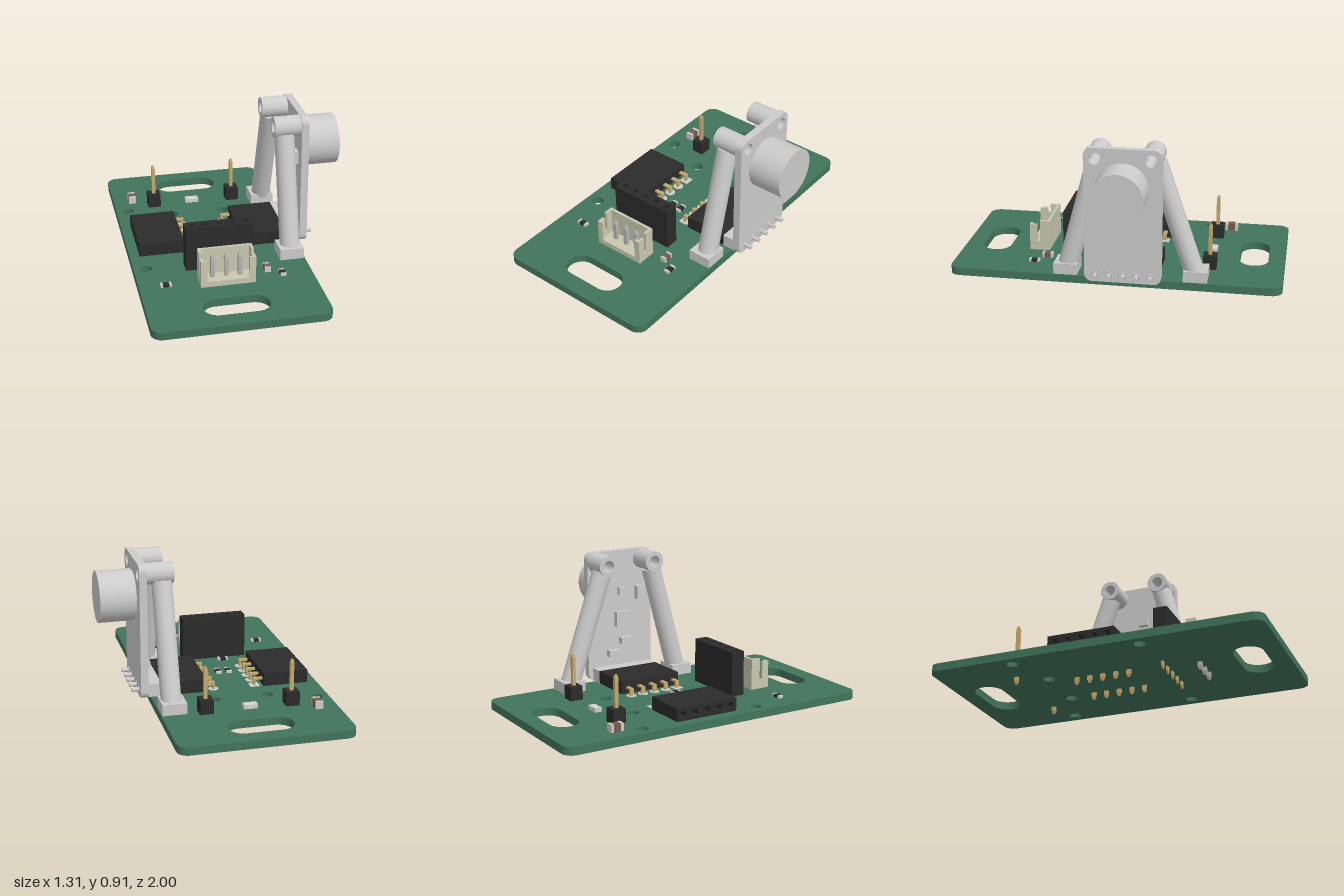
import * as THREE from 'three';

const mat = (color, extra = {}) => new THREE.MeshStandardMaterial({ color, ...extra });
const GREY = mat(0xcccccc), GREEN = mat(0x42745c), BLACK = mat(0x2b2b2b), CREAM = mat(0xc8c8b0);
const GOLD = mat(0xc8a96a, { flatShading: true }), TIN = mat(0xb4b4b0, { flatShading: true });
const BROWN = mat(0x7a5a48), WHITE = mat(0xd8d8cc);
const TOP = 0.105; // upper face of the board
const PITCH = [-0.162, -0.081, 0, 0.081, 0.162];

function add(parent, name, geometry, material, x = 0, y = 0, z = 0) {
  const mesh = new THREE.Mesh(geometry, material);
  mesh.name = name;
  mesh.position.set(x, y, z);
  parent.add(mesh);
  return mesh;
}

// box given by its limits on each axis
function box(parent, name, material, x0, x1, y0, y1, z0, z1) {
  return add(parent, name, new THREE.BoxGeometry(x1 - x0, y1 - y0, z1 - z0), material,
    (x0 + x1) / 2, (y0 + y1) / 2, (z0 + z1) / 2);
}

function roundedRect(w, h, r, cx = 0, cy = 0, Type = THREE.Shape) {
  const s = new Type(), a = w / 2 - r, b = h / 2 - r;
  s.absarc(cx + a, cy + b, r, 0, Math.PI / 2);
  s.absarc(cx - a, cy + b, r, Math.PI / 2, Math.PI);
  s.absarc(cx - a, cy - b, r, Math.PI, Math.PI * 1.5);
  s.absarc(cx + a, cy - b, r, Math.PI * 1.5, Math.PI * 2);
  s.closePath();
  return s;
}

const circle = (x, y, r) => new THREE.Path().absarc(x, y, r, 0, Math.PI * 2);
const extrude = (shape, depth) =>
  new THREE.ExtrudeGeometry(shape, { depth, bevelEnabled: false, curveSegments: 20 });

// square pin with tapered tips
function pin(parent, material, x, z, y0, y1, wx = 0.022, wz = 0.022) {
  const h = y1 - y0, r = Math.SQRT1_2;
  const pts = [[0, 0], [r * 0.5, 0], [r, 0.02], [r, h - 0.02], [r * 0.5, h], [0, h]];
  const geo = new THREE.LatheGeometry(pts.map(p => new THREE.Vector2(...p)), 4, Math.PI / 4);
  add(parent, 'pin', geo, material, x, y0, z).scale.set(wx, 1, wz);
}

// five-way socket strip, openings facing its own +z
function socket(name, height, depth) {
  const g = new THREE.Group();
  g.name = name;
  const s = roundedRect(0.407, height, 0.002);
  for (const p of PITCH) s.holes.push(roundedRect(0.036, 0.036, 0.002, p, 0, THREE.Path));
  add(g, 'socketBody', extrude(s, depth - 0.1), BLACK, 0, 0, 0.1);
  add(g, 'socketBase', new THREE.BoxGeometry(0.407, height, 0.1), BLACK, 0, 0, 0.05);
  return g;
}

// small surface-mount part with two metal end caps, long side along x unless turned
function chip(parent, x, z, len, wid, h, material, turned) {
  const g = new THREE.Group();
  g.name = 'surfacePart';
  add(g, 'chipBody', new THREE.BoxGeometry(len * 0.6, h, wid), material, 0, h / 2, 0);
  for (const s of [-1, 1])
    add(g, 'chipEnd', new THREE.BoxGeometry(len * 0.22, h * 1.03, wid * 1.03), GREY, s * len * 0.39, h / 2, 0);
  g.position.set(x, TOP, z);
  if (turned) g.rotation.y = Math.PI / 2;
  parent.add(g);
}

function buildBoard(root) {
  const s = roundedRect(1.03, 2, 0.065, -0.14, 0);
  for (const z of [-0.81, 0.803]) s.holes.push(roundedRect(0.387, 0.175, 0.087, -0.142, -z, THREE.Path));
  for (const [x, z] of [[-0.58, -0.49], [-0.58, 0.285], [0.3, -0.49], [0.3, 0.285], [-0.305, -0.39], [0.02, -0.39]])
    s.holes.push(circle(x, -z, 0.036));
  add(root, 'circuitBoard', extrude(s, 0.048), GREEN, 0, 0.057, 0).rotation.x = -Math.PI / 2;
}

// right-angle sockets with bent pins
function buildSideSockets(root) {
  for (const [name, x, dir, padX] of [['leftSocket', -0.32, -1, -0.27], ['rightSocket', 0.035, 1, -0.015]]) {
    const g = socket(name, 0.08, 0.275);
    g.position.set(x, 0.148, -0.067);
    g.rotation.y = dir * Math.PI / 2;
    root.add(g);
    PITCH.forEach((p, i) => {
      const z = p - 0.067;
      box(root, 'bentPin', GOLD, Math.min(x, padX - 0.008), Math.max(x, padX + 0.008), 0.14, 0.152, z - 0.012, z + 0.012);
      pin(root, GOLD, padX, z, 0.012, 0.152, 0.012, 0.028);
      const square = i === (dir < 0 ? 0 : 4);
      const pad = square ? new THREE.BoxGeometry(0.06, 0.004, 0.06) : new THREE.CylinderGeometry(0.031, 0.031, 0.004, 20);
      add(root, 'solderPad', pad, GREY, padX, TOP + 0.001, z);
    });
  }
}

function buildFrontConnectors(root) {
  // upright five-way socket
  const g = socket('uprightSocket', 0.085, 0.275);
  g.position.set(-0.148, TOP, 0.318);
  g.rotation.x = -Math.PI / 2;
  root.add(g);
  for (const p of PITCH) pin(root, GOLD, p - 0.148, 0.318, 0.012, 0.12, 0.028, 0.012);

  // three-way plug housing with open front and notched sides
  const c = new THREE.Group();
  c.name = 'plugHousing';
  root.add(c);
  box(c, 'housingFloor', CREAM, -0.304, 0.02, 0.108, 0.135, 0.455, 0.58);
  box(c, 'housingBack', CREAM, -0.304, 0.02, 0.13, 0.3, 0.455, 0.472);
  box(c, 'housingSill', CREAM, -0.304, 0.02, 0.13, 0.142, 0.56, 0.58);
  for (const [a, b, front] of [[-0.304, -0.287, -0.268], [0.003, 0.02, -0.016]]) {
    box(c, 'housingSideRear', CREAM, a, b, 0.13, 0.3, 0.47, 0.516);
    box(c, 'housingSideLow', CREAM, a, b, 0.13, 0.165, 0.516, 0.535);
    box(c, 'housingSideFront', CREAM, a, b, 0.13, 0.275, 0.535, 0.58);
    box(c, 'housingFrontPost', CREAM, Math.min(a, front), Math.max(b, front), 0.13, 0.275, 0.565, 0.58);
  }
  for (const x of [-0.223, -0.142, -0.061]) pin(c, TIN, x, 0.51, 0.01, 0.272, 0.024, 0.024);

  // two single test pins
  for (const x of [-0.4, 0.116]) {
    box(root, 'pinCollar', BLACK, x - 0.04, x + 0.04, TOP, 0.19, -0.595, -0.515);
    pin(root, GOLD, x, -0.555, 0.012, 0.384);
  }
}

// upright sensor plate on two tubular struts
function buildSensor(root) {
  const g = new THREE.Group();
  g.name = 'sensorModule';
  root.add(g);
  const cz = -0.073, holeY = 0.86, posts = [0.087, -0.237];
  const plate = roundedRect(0.455, 0.817, 0.045, -cz, 0.515);
  for (const z of posts) plate.holes.push(circle(-z, holeY, 0.036));
  add(g, 'sensorPlate', extrude(plate, 0.045), GREY, 0.395, 0, 0).rotation.y = Math.PI / 2;

  // sensor can with a slim neck
  for (const [r, x0, x1] of [[0.148, 0.44, 0.45], [0.154, 0.448, 0.655]])
    add(g, 'sensorCan', new THREE.CylinderGeometry(r, r, x1 - x0, 48), GREY, (x0 + x1) / 2, 0.69, cz).rotation.z = Math.PI / 2;

  // solder rings and pin ends low on the plate
  for (const p of PITCH) {
    add(g, 'pinEnd', new THREE.CylinderGeometry(0.013, 0.013, 0.1, 10), GREY, 0.435, 0.15, cz + p).rotation.z = Math.PI / 2;
    add(g, 'pinRing', new THREE.TorusGeometry(0.02, 0.004, 6, 16), GREY, 0.44, 0.15, cz + p).rotation.y = Math.PI / 2;
  }
  box(g, 'pinStrip', GREY, 0.31, 0.395, 0.108, 0.187, -0.27, 0.137);

  // small parts on the rear face: y, z, height, width, depth
  for (const [y, z, h, w, d] of [[0.645, 0.06, 0.085, 0.05, 0.035], [0.665, -0.06, 0.05, 0.06, 0.03],
    [0.487, -0.067, 0.095, 0.09, 0.032], [0.345, -0.04, 0.04, 0.08, 0.038], [0.272, -0.13, 0.04, 0.08, 0.038]])
    box(g, 'rearPart', GREY, 0.395 - d, 0.396, y - h / 2, y + h / 2, z - w / 2, z + w / 2);

  // hollow posts, sloping legs and square feet
  posts.forEach((z, i) => {
    const footZ = [0.285, -0.49][i];
    const ring = new THREE.Shape().absarc(-z, holeY, 0.063, 0, Math.PI * 2);
    ring.holes.push(circle(-z, holeY, 0.036));
    add(g, 'post', extrude(ring, 0.161), GREY, 0.234, 0, 0).rotation.y = Math.PI / 2;
    const foot = new THREE.Vector3(0.3, 0.12, footZ), top = new THREE.Vector3(0.3, holeY, z);
    const dir = top.clone().sub(foot).normalize();
    top.addScaledVector(dir, -0.048);
    const leg = add(g, 'leg', new THREE.CylinderGeometry(0.06, 0.06, foot.distanceTo(top), 32), GREY);
    leg.position.copy(foot).add(top).multiplyScalar(0.5);
    leg.quaternion.setFromUnitVectors(new THREE.Vector3(0, 1, 0), dir);
    box(g, 'foot', GREY, 0.223, 0.368, TOP, 0.172, footZ - 0.071, footZ + 0.071);
  });
}

export function createModel() {
  const root = new THREE.Group();
  root.name = 'sensorBoard';
  buildBoard(root);
  buildSideSockets(root);
  buildFrontConnectors(root);
  buildSensor(root);
  chip(root, -0.535, -0.635, 0.08, 0.045, 0.045, BROWN, true);
  chip(root, 0.116, 0.445, 0.065, 0.034, 0.03, BROWN, true);
  chip(root, -0.15, -0.555, 0.085, 0.045, 0.025, WHITE, false);
  for (const [x, z, turned] of [[-0.175, 0.025, 1], [-0.11, 0.025, 1], [0.195, 0.51, 1], [-0.195, 0.23, 0], [-0.498, 0.51, 0]])
    chip(root, x, z, 0.065, 0.033, 0.016, BLACK, turned);
  return root;
}
